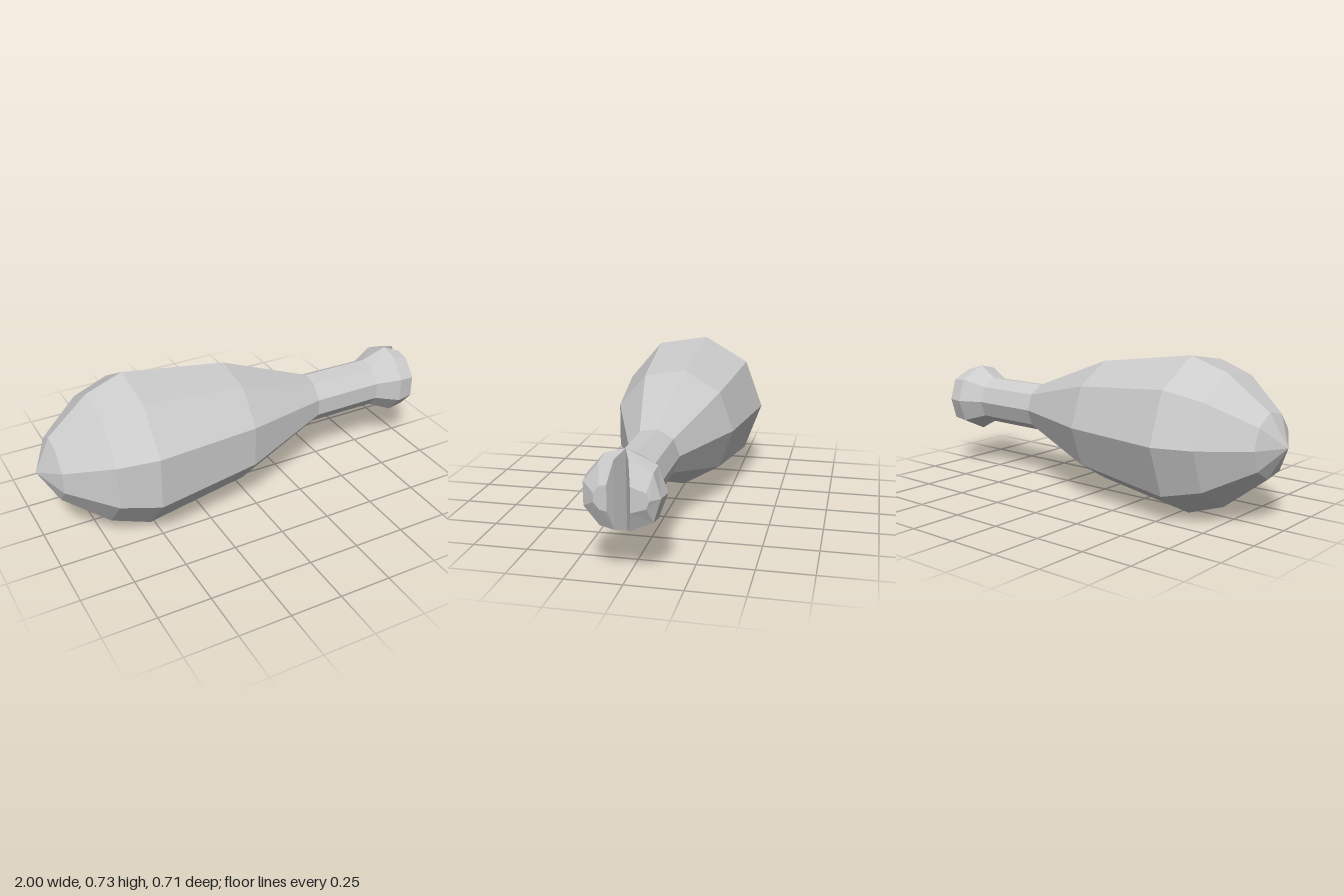
import * as THREE from 'three';

const CY = 0.365, CZ = 0.0115, SIDES = 9;
const material = new THREE.MeshStandardMaterial({ color: 0xcccccc, flatShading: true });

// Joins closed rings of [x, y, z] points (counter-clockwise seen from +x).
function loft(name, rings, capEnd) {
  const pos = [];
  const tri = (...pts) => pts.forEach((p) => pos.push(...p));
  for (let r = 0; r < rings.length - 1; r++) {
    const a = rings[r], b = rings[r + 1], n = a.length;
    for (let i = 0; i < n; i++) {
      const j = (i + 1) % n;
      if (a[i].join() !== a[j].join()) tri(a[i], a[j], b[i]);
      tri(a[j], b[j], b[i]);
    }
  }
  if (capEnd) {
    const e = rings[rings.length - 1];
    for (let i = 1; i < e.length - 1; i++) tri(e[0], e[i], e[i + 1]);
  }
  const geometry = new THREE.BufferGeometry();
  geometry.setAttribute('position', new THREE.Float32BufferAttribute(pos, 3));
  geometry.computeVertexNormals();
  const mesh = new THREE.Mesh(geometry, material);
  mesh.name = name;
  return mesh;
}

// Nine-sided ring around the long axis, one corner towards -z.
function ring(x, radius) {
  return Array.from({ length: SIDES }, (_, k) => {
    const a = (k / SIDES) * Math.PI * 2;
    return [x, CY + radius * Math.sin(a), CZ - radius * Math.cos(a)];
  });
}

// Half ring of a prong from [z, height above axis], mirrored top to bottom.
function prongRing(x, upper) {
  const pts = upper.map(([z, h]) => [x, CY + h, z]);
  const lower = upper.filter(([, h]) => h > 0).reverse().map(([z, h]) => [x, CY - h, z]);
  return [...pts, ...lower];
}

export function createModel() {
  const group = new THREE.Group();
  group.name = 'club';

  // Bulbous body, slim neck and flared head
  const profile = [
    [-1, 0], [-0.92, 0.149], [-0.72, 0.307], [-0.54, 0.3686],
    [-0.03, 0.294], [0.42, 0.122], [0.77, 0.12],
  ];
  const head = ring(0.885, 0.174);
  head[2] = [0.885, CY + 0.174, 0.01];
  head[7] = [0.885, CY - 0.174, 0.01];
  group.add(loft('body', [...profile.map(([x, r]) => ring(x, r)), head], false));

  // Front prong: its closing side forms one wall of the V notch
  group.add(loft('frontProng', [
    head.slice(2, 8),
    prongRing(0.96, [[0.04, 0.147], [0.102, 0.132], [0.168, 0.052]]),
    prongRing(1, [[0.06, 0.055], [0.09, 0.05], [0.115, 0.02]]),
  ], true));

  // Back prong, listed bottom to top so the winding stays outward
  const backRing = (x, upper) => {
    const pts = prongRing(x, upper);
    return pts.reverse();
  };
  group.add(loft('backProng', [
    [head[7], head[8], head[0], head[1], head[2]],
    backRing(0.96, [[-0.02, 0.147], [-0.119, 0.103], [-0.15, 0]]),
    backRing(1, [[-0.035, 0.055], [-0.1, 0.033], [-0.112, 0]]),
  ], true));

  return group;
}
